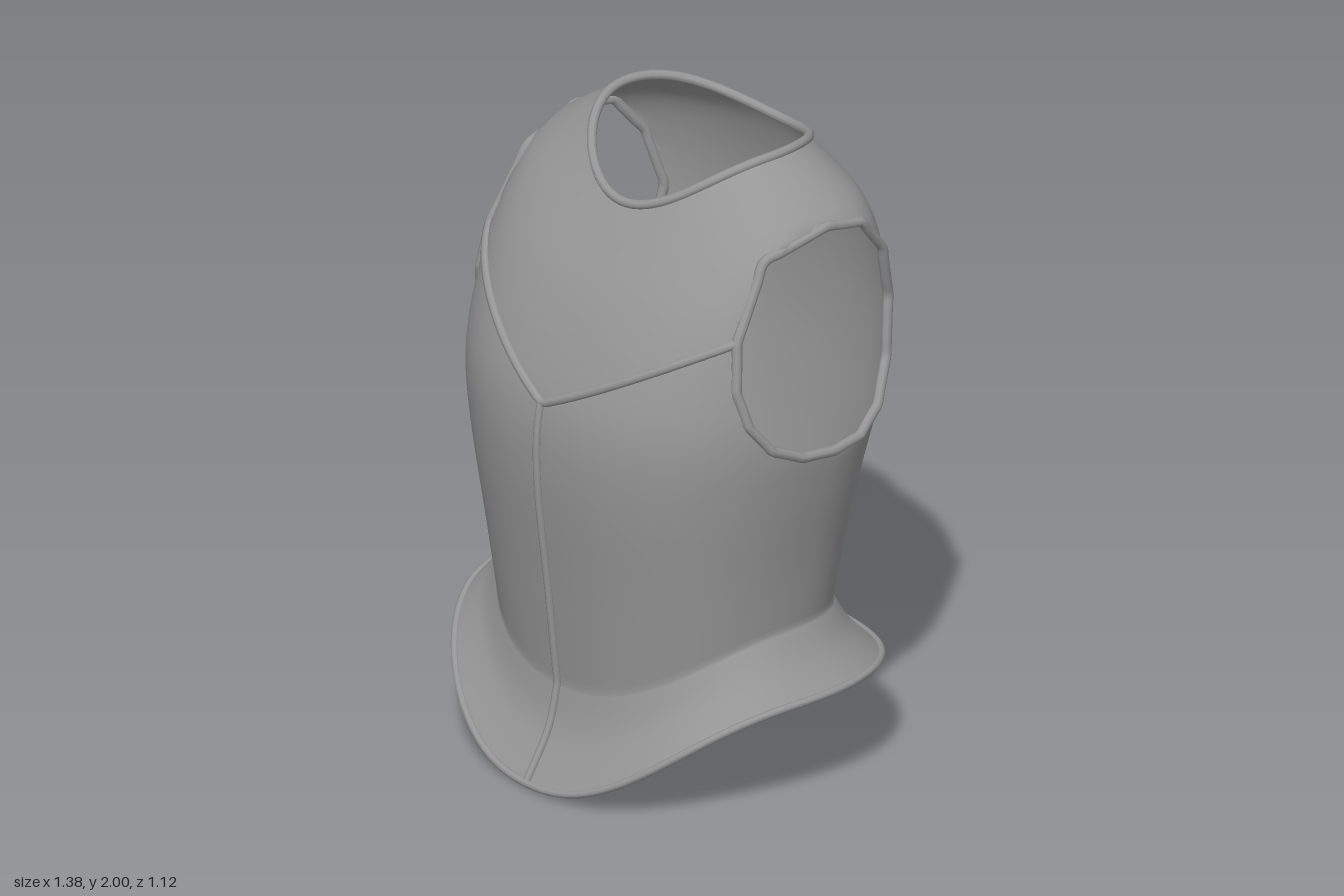
import * as THREE from 'three';
import { mergeVertices } from 'three/addons/utils/BufferGeometryUtils.js';

// Cross-sections from hem to neck: [half width, z of widest point, front z, back z,
// front y, side y, back y, squareness, steepness of the y change]
const RINGS = [
  [0.68, -0.02, 0.545, -0.55, 0.015, 0.37, 0.285, 2.25, 3],  // hem
  [0.605, 0, 0.455, -0.465, 0.17, 0.46, 0.38, 2.25, 2.7],    // flare
  [0.553, 0, 0.42, -0.41, 0.31, 0.55, 0.49, 2.25, 2.3],      // waist
  [0.58, 0, 0.455, -0.45, 0.62, 0.76, 0.72, 2.3, 2.2],
  [0.622, -0.02, 0.497, -0.495, 0.98, 1.0, 0.98, 2.35, 2.2],
  [0.65, -0.06, 0.492, -0.525, 1.21, 1.2, 1.22, 2.5, 2.2],   // chest
  [0.65, -0.1, 0.43, -0.53, 1.4, 1.4, 1.45, 2.7, 2.2],
  [0.64, -0.12, 0.34, -0.51, 1.58, 1.62, 1.66, 2.7, 2.2],
  [0.565, -0.14, 0.25, -0.475, 1.71, 1.83, 1.81, 2.5, 2.2],  // shoulder
  [0.34, -0.14, 0.175, -0.44, 1.81, 1.985, 1.895, 2, 2.4],   // neck
];
const WAIST = 2, TOP = RINGS.length - 1;

// Armhole outline in side view, as [z, y], convex and in order
const ARMHOLE = [
  [-0.14, 1.83], [-0.28, 1.8], [-0.38, 1.68], [-0.43, 1.5], [-0.405, 1.31], [-0.33, 1.19], [-0.22, 1.14],
  [-0.1, 1.135], [0.02, 1.15], [0.13, 1.2], [0.2, 1.29], [0.225, 1.4], [0.205, 1.55], [0.08, 1.77],
];

// Smooth interpolation between sections, with a crease at the waist
function section(v) {
  const k = Math.min(Math.floor(v), TOP - 1), t = v - k;
  const lo = k < WAIST ? 0 : WAIST, hi = k < WAIST ? WAIST : TOP;
  const at = (i) => RINGS[Math.max(lo, Math.min(hi, i))];
  const [a, b, c, d] = [at(k - 1), at(k), at(k + 1), at(k + 2)];
  return b.map((p, i) => p + 0.5 * t * (c[i] - a[i]
    + t * (2 * a[i] - 5 * p + 4 * c[i] - d[i] + t * (3 * (p - c[i]) + d[i] - a[i]))));
}

// Point on the body: angle runs from the front towards +x, v from hem to neck
function body(angle, v) {
  const [w, zs, zf, zb, yf, ys, yb, n, steep] = section(v);
  let s = Math.sin(angle), c = Math.cos(angle);
  const r = (Math.abs(s) ** n + Math.abs(c) ** n) ** (-1 / n);
  s *= r; c *= r;
  const front = c > 0, drop = Math.abs(c) ** steep;
  return new THREE.Vector3(w * s, ys + ((front ? yf : yb) - ys) * drop,
    zs + ((front ? zf : zb) - zs) * Math.abs(c));
}

// Finds the body point with a given y and a given coordinate on another axis
function onBody(axis, value, y, angle, v) {
  const e = 1e-4, lim = (q) => Math.max(-0.2, Math.min(0.2, q));
  for (let i = 0; i < 40; i++) {
    const p = body(angle, v), pa = body(angle + e, v), pv = body(angle, v + e);
    const a = (pa[axis] - p[axis]) / e, b = (pv[axis] - p[axis]) / e;
    const c = (pa.y - p.y) / e, d = (pv.y - p.y) / e;
    const f = value - p[axis], g = y - p.y, det = a * d - b * c;
    if (Math.abs(det) < 1e-9) break;
    angle += lim((f * d - b * g) / det);
    v = Math.max(WAIST, Math.min(TOP - 0.01, v + lim((a * g - c * f) / det)));
  }
  return body(angle, v);
}
const guessV = (y) => 5 + (y - 1.2) / 0.21;

// Armhole corners on the body, joined by straight edges
const CORNERS = ARMHOLE.map(([z, y]) => onBody('z', z, y, Math.atan2(0.6, z + 0.1), Math.min(8.2, guessV(y))));
const EDGES = CORNERS.map((a, i) => [a, CORNERS[(i + 1) % CORNERS.length]]);

// Distance outside the armhole in side view (negative inside), and x of its edge there
function armhole(p) {
  let best = { f: -Infinity };
  for (const [a, b] of EDGES) {
    const dz = b.z - a.z, dy = b.y - a.y, len = Math.hypot(dz, dy);
    const f = ((p.z - a.z) * dy - (p.y - a.y) * dz) / len;
    const t = ((p.z - a.z) * dz + (p.y - a.y) * dy) / len ** 2;
    if (f > best.f) best = { f, x: THREE.MathUtils.lerp(a.x, b.x, THREE.MathUtils.clamp(t, 0, 1)) };
  }
  return best;
}

// Body shell: grid over the loft with the armholes cut out
function shellGeometry() {
  const cols = 80, rows = TOP * 7, pos = [];
  const grid = Array.from({ length: rows + 1 }, (_, j) => Array.from({ length: cols }, (_, i) => {
    const p = body(i / cols * Math.PI * 2, j / rows * TOP);
    return { p, f: armhole(p).f };
  }));
  const addClipped = (tri) => {
    const poly = [];
    tri.forEach((a, i) => {
      const b = tri[(i + 1) % 3];
      if (a.f >= 0) poly.push(a.p);
      if ((a.f >= 0) !== (b.f >= 0)) {
        const cut = a.p.clone().lerp(b.p, a.f / (a.f - b.f));
        cut.x = Math.sign(cut.x) * armhole(cut).x;
        poly.push(cut);
      }
    });
    for (let i = 1; i + 1 < poly.length; i++)
      for (const q of [poly[0], poly[i], poly[i + 1]]) pos.push(q.x, q.y, q.z);
  };
  for (let j = 0; j < rows; j++) for (let i = 0; i < cols; i++) {
    const k = (i + 1) % cols;
    const a = grid[j][i], b = grid[j][k], c = grid[j + 1][k], d = grid[j + 1][i];
    addClipped([a, b, c]);
    addClipped([a, c, d]);
  }
  const geo = new THREE.BufferGeometry();
  geo.setAttribute('position', new THREE.Float32BufferAttribute(pos, 3));
  const merged = mergeVertices(geo, 1e-5);
  merged.computeVertexNormals();
  return merged;
}

export function createModel() {
  const group = new THREE.Group();
  const material = new THREE.MeshStandardMaterial({ color: 0x969696, side: THREE.DoubleSide });
  const add = (name, geometry) => {
    const mesh = new THREE.Mesh(geometry, material);
    mesh.name = name;
    group.add(mesh);
  };
  const bead = (name, points, radius, closed) => add(name, new THREE.TubeGeometry(
    new THREE.CatmullRomCurve3(points, closed), points.length * 2, radius, 8, closed));
  const loop = (n, fn) => Array.from({ length: n }, (_, i) => fn(i / n));

  add('bodyShell', shellGeometry());

  // Rolled edges at hem and neck
  bead('hemRim', loop(48, (t) => body(t * Math.PI * 2, 0)), 0.012, true);
  bead('neckRim', loop(40, (t) => body(t * Math.PI * 2, TOP)), 0.015, true);

  // Rolled armhole edges, mirrored
  const edge = EDGES.flatMap(([a, b]) => loop(4, (t) => a.clone().lerp(b, t)));
  bead('leftArmholeRim', edge, 0.016, true);
  bead('rightArmholeRim', edge.map((p) => new THREE.Vector3(-p.x, p.y, p.z)), 0.016, true);

  // V-shaped chest trim running between the front edges of the armholes
  const end = CORNERS[12], half = 14, trim = [];
  for (let i = -half; i <= half; i++) {
    const x = end.x * i / half, y = 1.245 + (end.y - 1.245) * Math.abs(i / half) ** 1.1;
    trim.push(onBody('x', x, y, x * 1.3, guessV(y)));
  }
  bead('chestTrim', trim, 0.015, false);

  // Raised ridge down the centre front, standing proud of the shell
  const ridge = Array.from({ length: 37 }, (_, i) => body(0, 0.1 + i / 36 * 5.07));
  ridge.forEach((p) => { p.z += 0.005; });
  bead('centreRidge', ridge, 0.012, false);

  return group;
}
